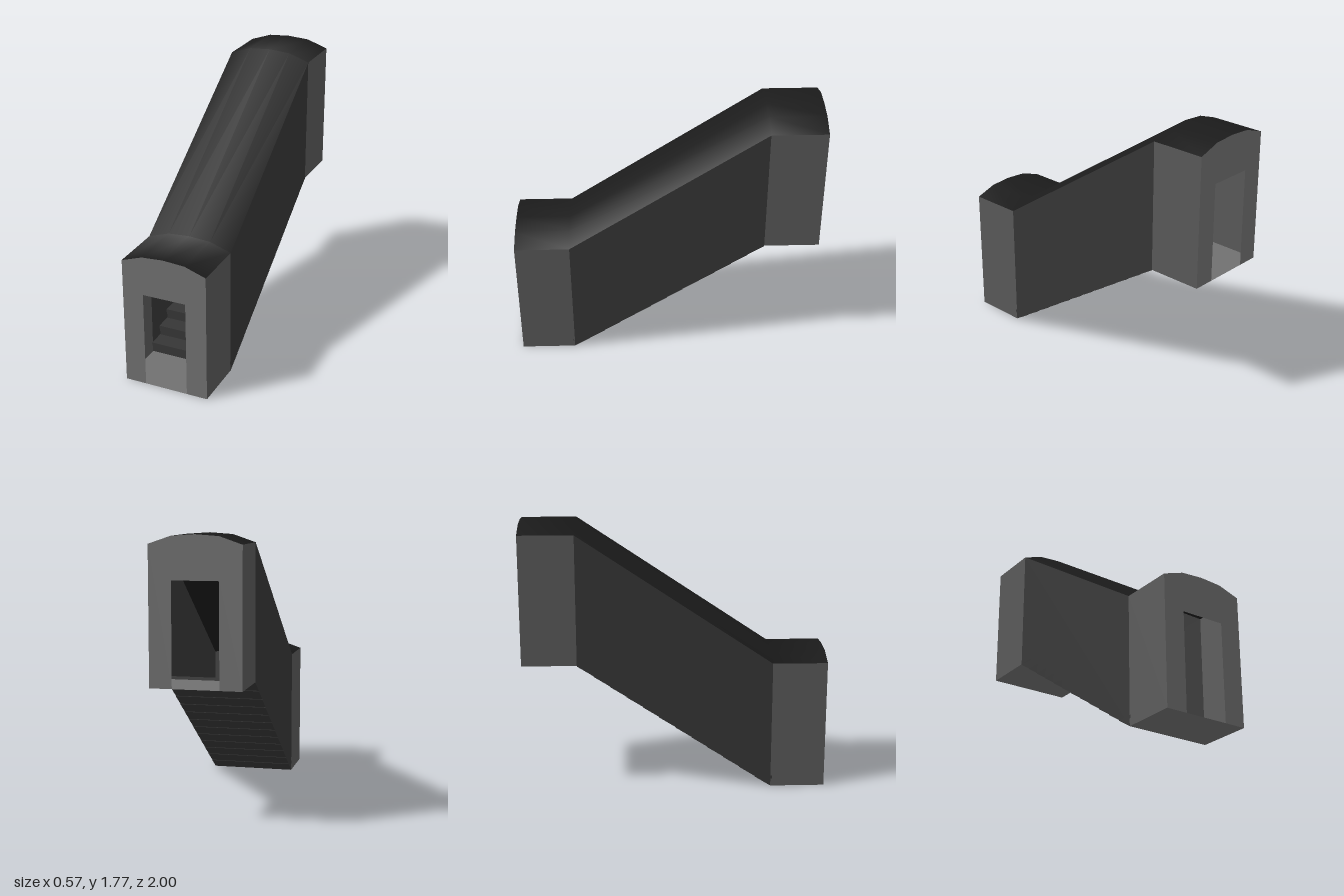
import * as THREE from 'three';

const HALF = 0.285, DOOR = 0.145, DOOR_H = 0.645;
const RISE = 0.857, LAND = 0.64, STEPS = 12;

// Cross-section, from the foot of the right wall over the arched roof
const SECTION = [[-HALF, 0], [-HALF, 0.857], [-DOOR, 0.905], [0, 0.915], [DOOR, 0.905], [HALF, 0.857], [HALF, 0]];
const ROOF = SECTION.slice(1, 6), RIGHT = SECTION.slice(0, 2), LEFT = SECTION.slice(5);
// Stations along the passage: [z, floor height]
const STATIONS = [[1, 0], [LAND, 0], [-LAND, RISE], [-1, RISE]];

const paint = (color) => new THREE.MeshStandardMaterial({ color, side: THREE.DoubleSide });

// Part of the section swept through some of the stations
function sweepGeometry(section, stations) {
  const pos = [], index = [], n = section.length;
  for (const [z, base] of stations) for (const [x, y] of section) pos.push(x, y + base, z);
  for (let s = 0; s < stations.length - 1; s++) {
    for (let i = 0; i < n - 1; i++) {
      const a = s * n + i, b = a + 1, c = a + n, d = c + 1;
      index.push(a, b, d, a, d, c);
    }
  }
  const geo = new THREE.BufferGeometry();
  geo.setAttribute('position', new THREE.Float32BufferAttribute(pos, 3));
  geo.setIndex(index);
  geo.computeVertexNormals();
  return geo;
}

const shapeOf = (points) => new THREE.Shape(points.map(([x, y]) => new THREE.Vector2(x, y)));

// One step: a wedge whose underside follows the slope, with a small nosing
function stepGeometry(run, rise) {
  const lip = 0.023, nose = 0.01, ledge = 0.004;
  const shape = shapeOf([[0, 0], [0, rise - lip], [nose, rise - lip], [nose, rise], [-run, rise], [-run, rise - ledge]]);
  const geo = new THREE.ExtrudeGeometry(shape, { depth: HALF * 2, bevelEnabled: false });
  return geo.translate(0, 0, -HALF).rotateY(-Math.PI / 2);
}

export function createModel() {
  const group = new THREE.Group();
  group.name = 'coveredStairway';
  const roofDark = paint(0x1b1b1b), wallDark = paint(0x363636);
  const landingGrey = paint(0x585858), endGrey = paint(0x707070);
  const add = (geo, material, name, x = 0, y = 0, z = 0) => {
    const mesh = new THREE.Mesh(geo, material);
    mesh.name = name;
    mesh.position.set(x, y, z);
    group.add(mesh);
    return mesh;
  };

  // Arched roof over the whole passage
  add(sweepGeometry(ROOF, STATIONS), roofDark, 'roof');

  // Side walls: sloping middle and a straight stretch at each landing
  for (const [side, section] of [['right', RIGHT], ['left', LEFT]]) {
    add(sweepGeometry(section, STATIONS.slice(0, 2)), landingGrey, `${side}LowerWall`);
    add(sweepGeometry(section, STATIONS.slice(1, 3)), wallDark, `${side}SlopingWall`);
    add(sweepGeometry(section, STATIONS.slice(2)), landingGrey, `${side}UpperWall`);
  }

  // End walls, each with a doorway reaching the floor
  const end = new THREE.ShapeGeometry(
    shapeOf([...SECTION, [DOOR, 0], [DOOR, DOOR_H], [-DOOR, DOOR_H], [-DOOR, 0]]));
  add(end, endGrey, 'frontEndWall', 0, 0, 1);
  add(end, endGrey, 'backEndWall', 0, RISE, -1).rotation.y = Math.PI;

  // Landings at both ends
  const landing = new THREE.PlaneGeometry(HALF * 2, 1 - LAND).rotateX(-Math.PI / 2);
  add(landing, endGrey, 'lowerLanding', 0, 0, (1 + LAND) / 2);
  add(landing, endGrey, 'upperLanding', 0, RISE, -(1 + LAND) / 2);

  // Flight of steps between them
  const run = (2 * LAND) / STEPS, rise = RISE / STEPS;
  const step = stepGeometry(run, rise);
  for (let k = 0; k < STEPS; k++) add(step, wallDark, `step${k + 1}`, 0, k * rise, LAND - k * run);

  return group;
}
